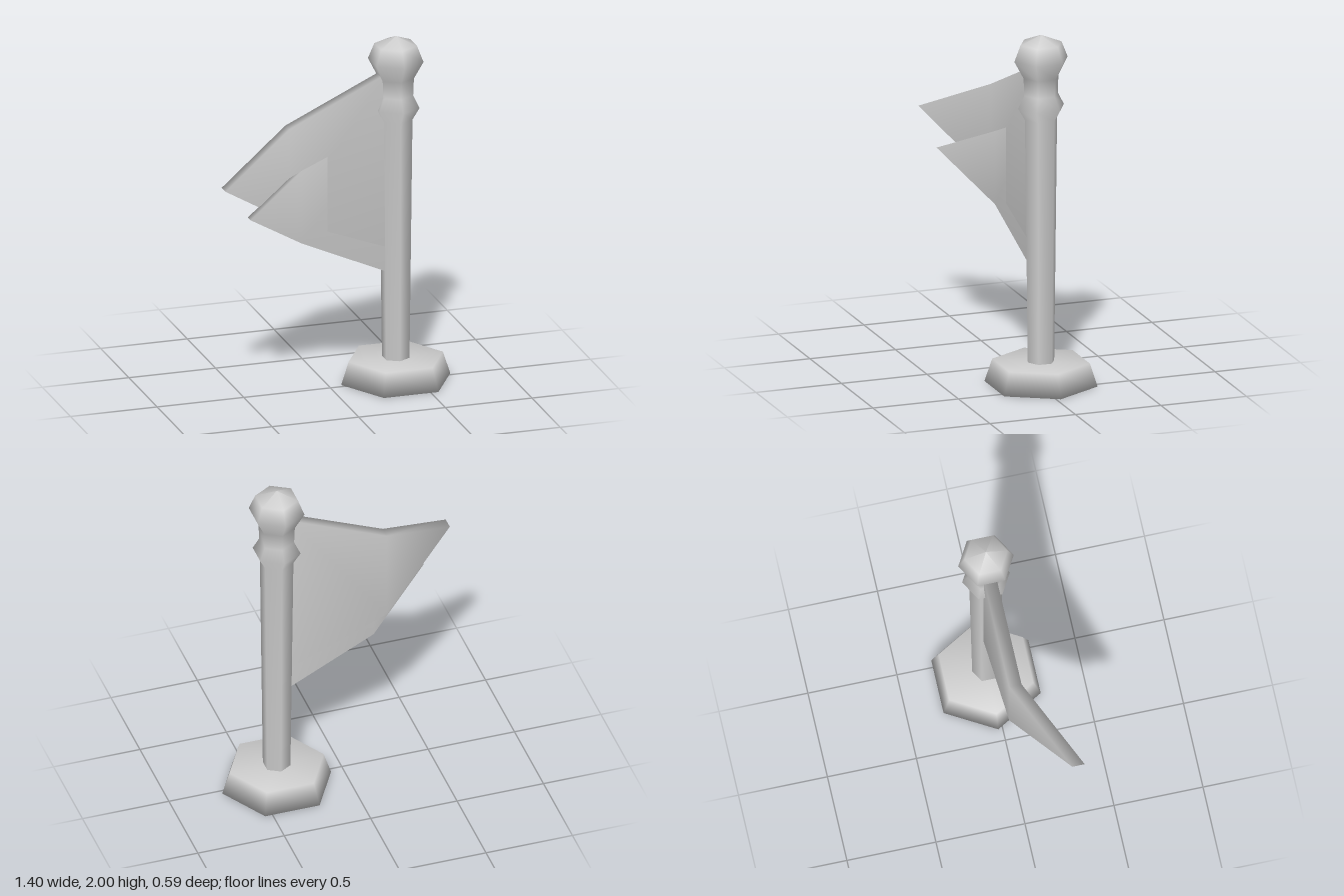
import * as THREE from 'three';

const POLE_X = 0.385, POLE_Z = -0.025;

// Smooth six-sided turned part standing on the pole axis
function hexTurned(name, profile, phiStart, material) {
  const points = profile.map(([r, y]) => new THREE.Vector2(r, y));
  const mesh = new THREE.Mesh(new THREE.LatheGeometry(points, 6, phiStart), material);
  mesh.position.set(POLE_X, 0, POLE_Z);
  mesh.name = name;
  return mesh;
}

// Folded pennant: outline runs pole top, fold top, tip, fold bottom, pole bottom
// as [x, y, zBack, zFront]
function pennant(name, outline, material) {
  const n = outline.length;
  const positions = [], index = [];
  for (const [x, y, , zFront] of outline) positions.push(x, y, zFront);
  for (const [x, y, zBack] of outline) positions.push(x, y, zBack);
  for (const [a, b, c] of [[0, 1, 3], [0, 3, 4], [1, 2, 3]]) {
    index.push(a, b, c, a + n, c + n, b + n);
  }
  for (let i = 0; i < n; i++) {
    const j = (i + 1) % n;
    index.push(j, i, i + n, j, i + n, j + n);
  }
  const geometry = new THREE.BufferGeometry();
  geometry.setAttribute('position', new THREE.Float32BufferAttribute(positions, 3));
  geometry.setIndex(index);
  geometry.computeVertexNormals();
  const mesh = new THREE.Mesh(geometry, material);
  mesh.name = name;
  return mesh;
}

export function createModel() {
  const grey = new THREE.MeshStandardMaterial({ color: 0xcccccc });
  grey.name = 'light grey';
  const model = new THREE.Group();
  model.name = 'flagOnStand';

  // Hexagonal foot, corners on the x axis
  model.add(hexTurned('base', [[0, 0], [0.315, 0], [0.272, 0.13], [0, 0.13]], Math.PI / 6, grey));

  // Tapered pole with collar and knob, corners on the z axis
  model.add(hexTurned('pole', [
    [0.077, 0.1], [0.094, 1.52], [0.134, 1.59], [0.098, 1.66],
    [0.102, 1.76], [0.156, 1.86], [0.12, 1.95], [0, 2],
  ], 0, grey));

  // Upper tail with the main cloth
  model.add(pennant('upperPennant', [
    [0.32, 1.8, -0.056, 0.014], [-0.25, 1.545, -0.034, 0.036], [-0.7, 1.32, 0.222, 0.292],
    [-0.25, 1.01, -0.034, 0.036], [0.32, 0.79, -0.056, 0.014],
  ], grey));

  // Lower tail, coming out of the main cloth at the fold
  model.add(pennant('lowerPennant', [
    [0.32, 1.5, -0.04, 0.008], [-0.18, 1.295, -0.014, 0.036], [-0.54, 1.12, 0.195, 0.245],
    [-0.18, 0.875, -0.014, 0.036], [0.32, 0.645, -0.04, 0.008],
  ], grey));

  return model;
}
